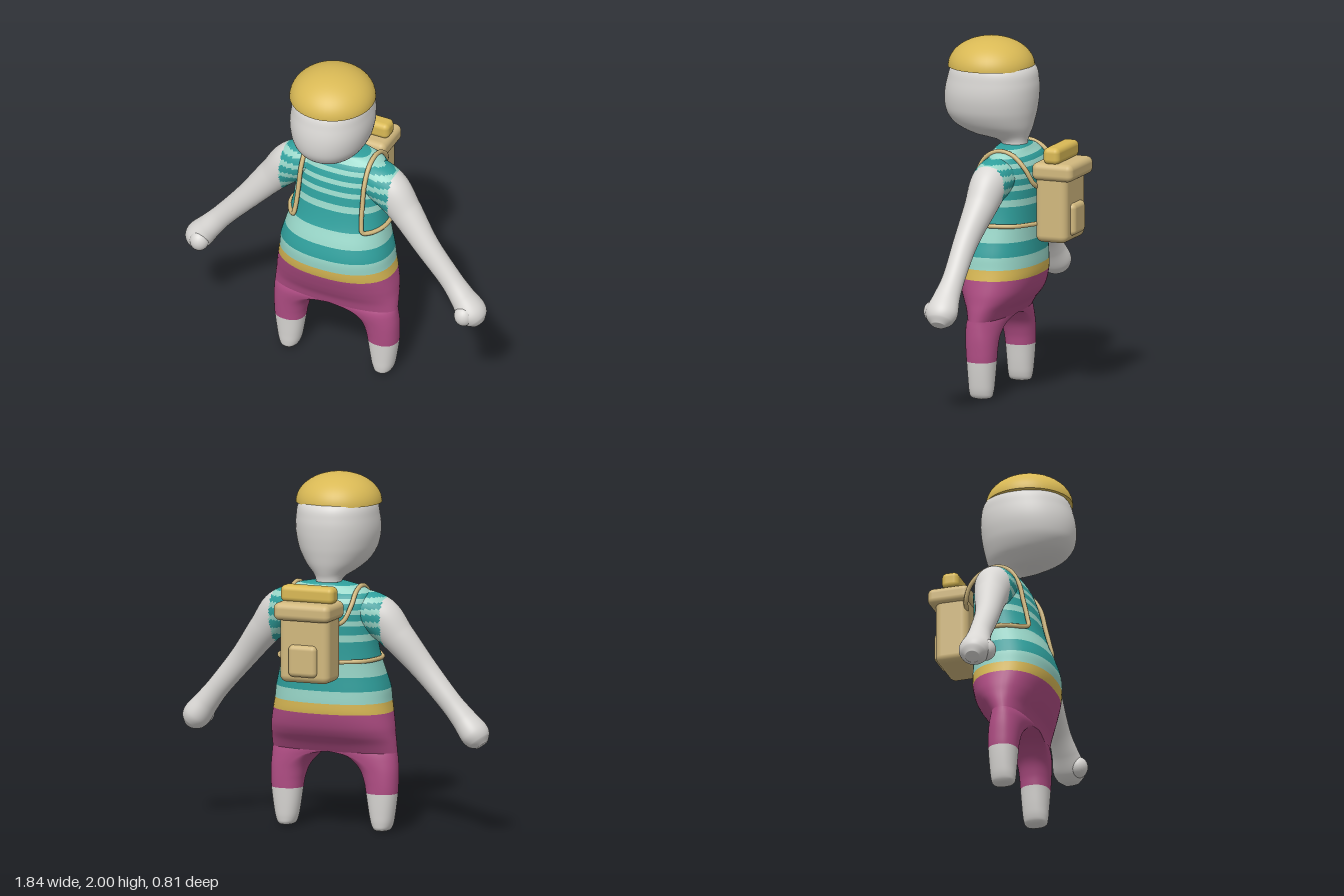
import * as THREE from 'three';
import { RoundedBoxGeometry } from 'three/addons/geometries/RoundedBoxGeometry.js';

const mat = (name, color) => {
  const m = new THREE.MeshStandardMaterial({ color });
  m.name = name;
  return m;
};

// Subdivide profile rows [y, ...values] with smooth (Hermite) interpolation
function refine(rows, step) {
  const slope = (i, c) => {
    const a = rows[Math.max(i - 1, 0)], b = rows[Math.min(i + 1, rows.length - 1)];
    return (b[c] - a[c]) / (b[0] - a[0]);
  };
  const out = [rows[0]];
  for (let i = 0; i < rows.length - 1; i++) {
    const a = rows[i], b = rows[i + 1], h = b[0] - a[0];
    const n = Math.max(2, Math.ceil(h / step));
    for (let k = 1; k <= n; k++) {
      const t = k / n, t2 = t * t, t3 = t2 * t;
      out.push(a.map((v, c) => c === 0 ? v + h * t
        : (2 * t3 - 3 * t2 + 1) * v + (t3 - 2 * t2 + t) * h * slope(i, c)
        + (3 * t2 - 2 * t3) * b[c] + (t3 - t2) * h * slope(i + 1, c)));
    }
  }
  return out;
}

// Slightly squared circle: returns [cos, sin]
const SIDES = 56;
const round = (j, n = 2.3) => {
  const a = (j / SIDES) * Math.PI * 2, c = Math.cos(a), s = Math.sin(a);
  const p = v => Math.sign(v) * Math.pow(Math.abs(v) < 1e-9 ? 0 : Math.abs(v), 2 / n);
  return [p(c), p(s)];
};
const makeRing = fn => Array.from({ length: SIDES }, (_, j) => fn(j));

// Skin a list of rings; paint(x, y) picks the material index of each quad
function loft(rings, { capStart = false, capEnd = false, paint = () => 0, count = 1 } = {}) {
  const pos = rings.flat(2), groups = Array.from({ length: count }, () => []);
  const id = (i, j) => i * SIDES + (j % SIDES);
  for (let i = 0; i < rings.length - 1; i++) {
    for (let j = 0; j < SIDES; j++) {
      const q = [id(i, j), id(i + 1, j), id(i, j + 1), id(i + 1, j + 1)];
      const mean = c => q.reduce((s, k) => s + pos[k * 3 + c], 0) / 4;
      groups[paint(mean(0), mean(1))].push(q[0], q[1], q[2], q[2], q[1], q[3]);
    }
  }
  const cap = (i, flip) => {
    const c = pos.length / 3, ring = rings[i];
    for (let k = 0; k < 3; k++) pos.push(ring.reduce((s, p) => s + p[k], 0) / SIDES);
    const g = groups[paint(pos[c * 3], pos[c * 3 + 1])];
    for (let j = 0; j < SIDES; j++) {
      if (flip) g.push(c, id(i, j + 1), id(i, j));
      else g.push(c, id(i, j), id(i, j + 1));
    }
  };
  if (capStart) cap(0, false);
  if (capEnd) cap(rings.length - 1, true);
  const geo = new THREE.BufferGeometry();
  geo.setAttribute('position', new THREE.Float32BufferAttribute(pos, 3));
  geo.setIndex(groups.flat());
  let start = 0;
  groups.forEach((g, i) => { geo.addGroup(start, g.length, i); start += g.length; });
  geo.computeVertexNormals();
  return geo;
}

// Rows [y, halfWidth, zFront, zBack] to rings centred on x = 0
const bodyRings = (rows, step, n) => refine(rows, step).map(([y, w, f, b]) => makeRing(j => {
  const [c, s] = round(j, n);
  return [w * c, y, (f + b) / 2 + (f - b) / 2 * s];
}));

export function createModel() {
  const root = new THREE.Group();
  const skin = mat('pale grey', 0xd9d7d4), dark = mat('dark teal', 0x2f9f9c);
  const light = mat('light teal', 0x98d6c8), gold = mat('gold', 0xd9b955);
  const pink = mat('plum pink', 0xb04d84), tan = mat('tan', 0xd1b87e);
  const palette = [skin, dark, light, gold, pink];
  const add = (name, geo, material, x = 0, y = 0, z = 0) => {
    const m = new THREE.Mesh(geo, material);
    m.name = name;
    m.position.set(x, y, z);
    root.add(m);
    return m;
  };

  // Shirt stripes by height
  const stripes = [[0.81, 0.895], [0.98, 1.09], [1.13, 1.175], [1.205, 1.245],
    [1.275, 1.31], [1.335, 1.36], [1.395, 1.5]];
  const shirt = y => stripes.some(([a, b]) => y > a && y < b) ? 1 : 2;

  // Torso: hips, belt and striped shirt
  const torso = [
    [0.45, 0.372, 0.2, -0.02], [0.5, 0.37, 0.215, -0.055], [0.55, 0.365, 0.24, -0.1],
    [0.6, 0.36, 0.262, -0.13], [0.68, 0.346, 0.29, -0.153], [0.74, 0.336, 0.299, -0.157],
    [0.81, 0.328, 0.298, -0.155], [0.9, 0.305, 0.272, -0.152], [1.0, 0.282, 0.232, -0.152],
    [1.1, 0.27, 0.203, -0.155], [1.2, 0.268, 0.18, -0.158], [1.28, 0.266, 0.155, -0.155],
    [1.34, 0.256, 0.128, -0.128], [1.375, 0.225, 0.102, -0.095], [1.395, 0.165, 0.088, -0.08],
    [1.408, 0.09, 0.076, -0.07]];
  add('torso', loft(bodyRings(torso, 0.01), {
    capEnd: true, count: 5, paint: (x, y) => y < 0.68 ? 4 : y < 0.74 ? 3 : shirt(y),
  }), palette);

  // Head and neck
  const head = [
    [1.36, 0.085, 0.08, -0.075], [1.41, 0.072, 0.075, -0.07], [1.435, 0.083, 0.12, -0.074],
    [1.455, 0.108, 0.235, -0.082], [1.5, 0.158, 0.335, -0.098], [1.55, 0.192, 0.383, -0.11],
    [1.6, 0.213, 0.402, -0.12], [1.68, 0.228, 0.405, -0.129], [1.76, 0.225, 0.39, -0.128],
    [1.84, 0.208, 0.36, -0.105], [1.9, 0.15, 0.28, -0.02]];
  add('head', loft(bodyRings(head, 0.015, 2.15), { capEnd: true }), skin);

  // Cap: domed crown with a flat underside
  const crown = new THREE.SphereGeometry(1, 48, 20, 0, Math.PI * 2, 0, Math.PI / 2);
  add('cap', crown, gold, 0, 1.834, 0.142).scale.set(0.24, 0.166, 0.243);
  const under = add('capUnderside', new THREE.CircleGeometry(1, 48), gold, 0, 1.834, 0.142);
  under.rotation.x = Math.PI / 2;
  under.scale.set(0.24, 0.243, 1);

  // Legs: [y, inner x, outer x, zFront, zBack, blend into the hips]
  const leg = [
    [0.004, 0.275, 0.305, 0.1, 0.07, 0], [0.012, 0.248, 0.328, 0.14, 0.03, 0],
    [0.04, 0.23, 0.345, 0.152, 0.017, 0], [0.1, 0.216, 0.358, 0.157, 0.01, 0],
    [0.22, 0.197, 0.374, 0.165, 0.002, 0], [0.28, 0.186, 0.377, 0.17, 0, 0.02],
    [0.35, 0.158, 0.378, 0.178, -0.002, 0.15], [0.41, 0.105, 0.375, 0.19, -0.008, 0.5],
    [0.436, 0.06, 0.373, 0.196, -0.014, 0.8], [0.45, 0, 0.372, 0.2, -0.02, 1]];
  for (const s of [1, -1]) {
    const side = s > 0 ? 'left' : 'right';
    const rings = refine(leg, 0.012).map(([y, inner, outer, f, b, t]) => makeRing(j => {
      const [c, k] = round(j);
      const tube = (inner + outer) / 2 + (outer - inner) / 2 * c;
      const half = inner + (outer - inner) * Math.max(c, 0);
      return [s * (tube + (half - tube) * t), y, (f + b) / 2 + s * (f - b) / 2 * k];
    }));
    add(side + 'Leg', loft(rings, {
      capStart: true, count: 5, paint: (x, y) => y < 0.22 ? 0 : 4,
    }), palette);

    // Arm with sleeve: [x, y, z, radius across, radius in depth]
    const arm = [
      [0.1, 1.25, 0.01, 0.11, 0.1], [0.2, 1.255, 0.02, 0.115, 0.115], [0.3, 1.215, 0.032, 0.118, 0.108],
      [0.4, 1.11, 0.045, 0.095, 0.09], [0.55, 0.93, 0.075, 0.073, 0.068], [0.7, 0.755, 0.085, 0.064, 0.063],
      [0.775, 0.665, 0.095, 0.07, 0.075], [0.835, 0.59, 0.1, 0.08, 0.092], [0.865, 0.55, 0.1, 0.068, 0.075],
      [0.885, 0.525, 0.1, 0.035, 0.04]];
    const path = new THREE.CatmullRomCurve3(arm.map(p => new THREE.Vector3(p[0], p[1], p[2])));
    const radii = new THREE.CatmullRomCurve3(arm.map(p => new THREE.Vector3(p[3], p[4], 0)), false, 'catmullrom');
    const armRings = [];
    for (let i = 0; i <= 130; i++) {
      const p = path.getPoint(i / 130), r = radii.getPoint(i / 130), d = path.getTangent(i / 130);
      const l = Math.hypot(d.x, d.y);
      armRings.push(makeRing(j => {
        const [c, k] = round(j, 2);
        return [s * (p.x - d.y / l * r.x * c), p.y + d.x / l * r.x * c, p.z - s * r.y * k];
      }));
    }
    add(side + 'Arm', loft(armRings, {
      capEnd: true, count: 5, paint: (x, y) => Math.abs(x) < 0.335 ? shirt(y) : 0,
    }), palette);
    const thumb = add(side + 'Thumb', new THREE.SphereGeometry(1, 24, 16), skin, s * 0.815, 0.59, 0.155);
    thumb.scale.set(0.055, 0.062, 0.058);

    // Backpack strap: over the shoulder, down the chest and round the waist
    const strap = [[0.12, 1.19, -0.185], [0.165, 1.22, -0.175], [0.195, 1.3, -0.14], [0.195, 1.37, -0.07],
      [0.195, 1.393, 0.01], [0.195, 1.365, 0.085], [0.195, 1.28, 0.142], [0.197, 1.16, 0.172],
      [0.202, 1.05, 0.197], [0.212, 0.998, 0.205], [0.245, 0.985, 0.17], [0.285, 0.985, 0.09],
      [0.287, 0.985, 0.0], [0.25, 0.985, -0.1], [0.13, 0.985, -0.18]];
    const curve = new THREE.CatmullRomCurve3(strap.map(p => new THREE.Vector3(s * p[0], p[1], p[2])));
    add(side + 'Strap', new THREE.TubeGeometry(curve, 110, 0.013, 8), tan);
  }

  // Backpack: body, lid, pocket and bedroll
  const box = (name, w, h, d, r, m, y, z) => add(name, new RoundedBoxGeometry(w, h, d, 5, r), m, 0, y, z);
  box('backpackBody', 0.3, 0.4, 0.19, 0.04, tan, 1.083, -0.27);
  box('backpackLid', 0.34, 0.1, 0.245, 0.035, tan, 1.285, -0.283);
  box('backpackPocket', 0.17, 0.18, 0.07, 0.028, tan, 1.01, -0.357);
  box('bedroll', 0.32, 0.095, 0.098, 0.03, gold, 1.375, -0.275);
  return root;
}
